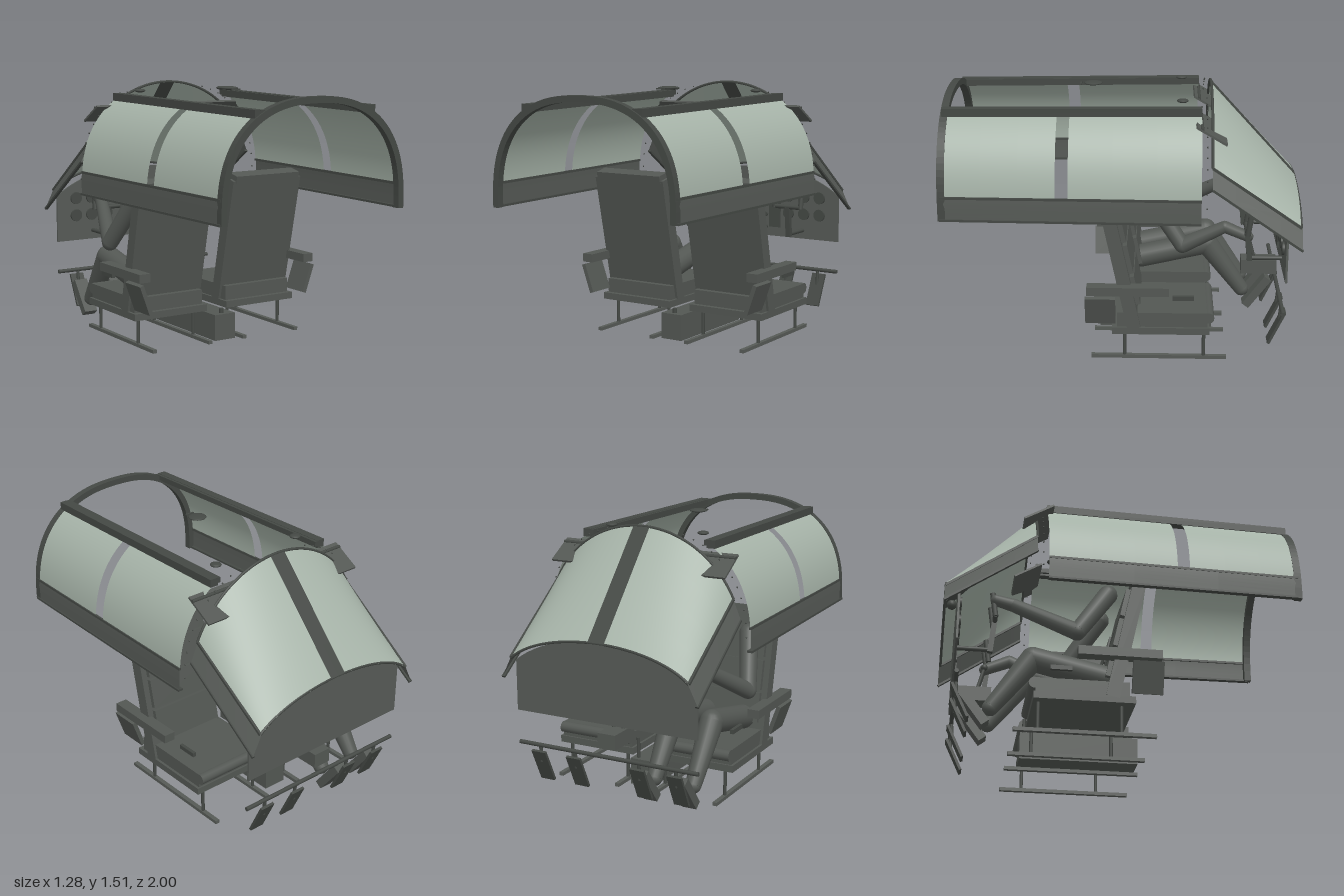
import * as THREE from 'three';
import { ParametricGeometry } from 'three/addons/geometries/ParametricGeometry.js';

const mat = (name, color, side = THREE.FrontSide) => {
  const m = new THREE.MeshStandardMaterial({ color, side });
  m.name = name;
  return m;
};
const lerp = THREE.MathUtils.lerp;
const V = (x, y, z) => new THREE.Vector3(x, y, z);

export function createModel() {
  const root = new THREE.Group();
  const glass = mat('tinted glass', 0xa6b3a8, THREE.DoubleSide);
  const skin = mat('painted metal', 0x565a56, THREE.DoubleSide);
  const frame = mat('dark frame', 0x444844, THREE.DoubleSide);
  const grey = mat('seat grey', 0x535753);

  const add = (name, geo, m, x = 0, y = 0, z = 0, rx = 0, rz = 0) => {
    const mesh = new THREE.Mesh(geo, m);
    mesh.name = name;
    mesh.position.set(x, y, z);
    mesh.rotation.set(rx, 0, rz);
    root.add(mesh);
    return mesh;
  };
  // box given by its ranges on each axis
  const box = (name, m, x0, x1, y0, y1, z0, z1) =>
    add(name, new THREE.BoxGeometry(Math.abs(x1 - x0), y1 - y0, Math.abs(z1 - z0)), m,
      (x0 + x1) / 2, (y0 + y1) / 2, (z0 + z1) / 2);
  // square bar between two points
  const bar = (name, m, a, b, w, h) => {
    const mesh = add(name, new THREE.BoxGeometry(w, h, a.distanceTo(b)), m);
    mesh.position.copy(a).lerp(b, 0.5);
    mesh.lookAt(b);
    return mesh;
  };
  // round rod between two points
  const rod = (name, m, a, b, r1, r2 = r1, seg = 14) => {
    const mesh = add(name, new THREE.CylinderGeometry(r2, r1, a.distanceTo(b), seg), m);
    mesh.position.copy(a).lerp(b, 0.5);
    mesh.quaternion.setFromUnitVectors(V(0, 1, 0), b.clone().sub(a).normalize());
    return mesh;
  };
  const sheet = (name, m, f, nu = 24, nv = 4) =>
    add(name, new ParametricGeometry((u, v, p) => p.copy(f(u, v)), nu, nv), m);

  // canopy section: straight wall under y 0.9, rounded above
  const canopy = (t, z, off = 0) => {
    const s = (z + 0.44) / 1.44, a = lerp(0.63, 0.6, s) + off, b = lerp(0.6, 0.58, s) + off;
    if (t < 0) return V(a, 0.9 + t, z);
    return V(a * Math.max(0, Math.cos(t)) ** 0.833, 0.9 + b * Math.sin(t) ** 0.833, z);
  };
  // windscreen section: from the rear hoop (s=0) to the nose (s=1)
  const screen = (t, s) => V(Math.cos(t) * lerp(0.61, 0.6, s),
    lerp(0.9, 0.7, s) + Math.sin(t) * lerp(0.6, 0.255, s), lerp(-0.5, -1, s));
  const T0 = 0.43;

  // windscreen
  sheet('windscreen', glass, (u, v) => screen(lerp(T0, Math.PI - T0, u), v), 40, 4);
  sheet('windscreenCentreStrip', frame, (u, v) => {
    const p = screen(Math.PI / 2, v);
    return V(lerp(-0.05, 0.05, u), p.y + 0.004, p.z);
  }, 2, 4);
  sheet('windscreenInnerStrip', frame, (u, v) => {
    const p = screen(Math.PI / 2, v);
    return V(lerp(-0.05, 0.05, u), p.y - 0.008, p.z);
  }, 2, 4);
  for (const [name, s] of [['windscreenRearHoop', 0], ['windscreenNoseHoop', 1]]) {
    const pts = Array.from({ length: 25 }, (_, i) => screen(lerp(T0, Math.PI - T0, i / 24), s));
    for (const p of pts) p.z += s ? 0.008 : 0;
    add(name, new THREE.TubeGeometry(new THREE.CatmullRomCurve3(pts), 48, 0.008, 6), frame);
  }

  // rear hoop of the canopy
  const half = (off) => Array.from({ length: 26 }, (_, i) => canopy(lerp(-0.05, Math.PI / 2, i / 25), 1, off));
  const full = (off) => {
    const h = half(off);
    return [...h, ...h.slice(0, -1).reverse().map((p) => V(-p.x, p.y, p.z))];
  };
  const hoop = new THREE.Shape([...full(0.004), ...full(-0.032).reverse()].map((p) => new THREE.Vector2(p.x, p.y)));
  add('canopyRearHoop', new THREE.ExtrudeGeometry(hoop, { depth: 0.042, bevelEnabled: false }), frame, 0, 0, 0.958);

  for (const k of [-1, 1]) {
    const flip = (p) => V(p.x * k, p.y, p.z);
    // canopy side windows with a gap between the panes
    for (const [z0, z1] of [[-0.44, 0.285], [0.355, 0.97]])
      sheet('canopySideWindow', glass, (u, v) => flip(canopy(lerp(0.09, 0.96, u), lerp(z0, z1, v))), 20, 3);
    sheet('canopySill', skin, (u, v) => flip(canopy(lerp(-0.05, 0.095, u), lerp(-0.44, 0.99, v), 0.003)), 6, 3);
    const along = (name, t, off, w, h) =>
      bar(name, frame, flip(canopy(t, -0.44, off)), flip(canopy(t, 0.99, off)), w, h);
    along('canopyTopRail', 0.985, 0.008, 0.05, 0.045);
    along('canopyTopRailEdge', 1.03, 0.0, 0.03, 0.03);
    along('canopyTrim', 0.095, 0, 0.012, 0.014);
    along('canopyBottomLip', -0.045, -0.004, 0.03, 0.012);
    // windscreen lower strip
    sheet('windscreenSill', skin, (u, v) => {
      const p = screen(T0, v);
      return flip(V(lerp(p.x, 0.6, u), p.y - 0.11 * u, p.z));
    }, 2, 4);
    bar('windscreenSillLip', frame, V(k * 0.595, 1.04, -0.5), V(k * 0.595, 0.695, -1), 0.02, 0.012);
    bar('windscreenSillTrim', frame, flip(screen(T0, 0)), flip(screen(T0, 0.99)), 0.014, 0.014);
    // rivet line between canopy and windscreen
    for (let i = 0; i < 12; i++) {
      const p = flip(canopy(0.04 + i * 0.11, -0.47, -0.01));
      add('rivet', new THREE.SphereGeometry(0.005, 6, 4), frame, p.x, p.y, p.z);
    }
    // sun visor
    bar('sunVisor', grey, V(k * 0.35, 1.372, -0.41), V(k * 0.35, 1.275, -0.575), 0.38, 0.012);
    rod('visorRod', frame, V(k * 0.16, 1.36, -0.44), V(k * 0.54, 1.36, -0.44), 0.01);
    // overhead lamp
    const lamp = add('overheadLamp', new THREE.SphereGeometry(0.032, 16, 8), frame, k * 0.29, 1.46, -0.335);
    lamp.scale.y = 0.35;

    // seat
    const x0 = k * 0.07, x1 = k * 0.56, xm = k * 0.315;
    add('seatBack', new THREE.BoxGeometry(0.49, 0.76, 0.075), grey, xm, 0.575, 0.006, 0.215);
    add('seatBackCap', new THREE.BoxGeometry(0.455, 0.045, 0.085), grey, xm, 0.955, 0.088, 0.215);
    for (let i = 0; i < 3; i++)
      add('seatBackPad', new THREE.BoxGeometry(0.42, 0.17, 0.03), grey, xm, 0.42 + i * 0.185, -0.077 + i * 0.04, 0.215);
    box('seatBase', grey, x0, x1, 0.17, 0.21, 0.05, -0.5);
    box('seatCushion', grey, k * 0.085, k * 0.545, 0.21, 0.295, 0.02, -0.49);
    rod('seatCushionRoll', grey, V(k * 0.085, 0.265, -0.495), V(k * 0.545, 0.265, -0.495), 0.032);
    box('armrest', grey, k * 0.54, k * 0.61, 0.42, 0.47, 0.19, -0.27);
    bar('sidePocket', grey, V(k * 0.6, 0.405, 0.115), V(k * 0.54, 0.235, 0.115), 0.17, 0.025);
    box('seatLever', frame, k * 0.5, k * 0.52, 0.36, 0.385, -0.29, -0.41);

    // seat rails and posts
    for (const x of [0.122, 0.5]) {
      box('seatRail', skin, k * (x - 0.013), k * (x + 0.013), 0, 0.02, 0.17, -0.6);
      for (const z of [-0.02, -0.47])
        rod('seatPost', frame, V(k * x, 0.015, z), V(k * x, 0.175, z), 0.01);
    }

    // rudder pedals
    for (const x of [0.2, 0.425]) {
      rod('pedalArm', frame, V(k * x, 0.3, -0.91), V(k * x, 0.2, -0.9), 0.01);
      bar('pedal', frame, V(k * x, 0.27, -0.93), V(k * x, 0.08, -0.84), 0.09, 0.015);
    }

    // control yoke
    rod('yokeShaft', frame, V(k * 0.31, 0.545, -0.92), V(k * 0.31, 0.545, -0.73), 0.013);
    bar('yokeColumn', frame, V(k * 0.31, 0.53, -0.73), V(k * 0.31, 0.72, -0.71), 0.03, 0.03);
    rod('yokeCrossbar', frame, V(k * 0.22, 0.72, -0.71), V(k * 0.4, 0.72, -0.71), 0.014);
    for (const x of [0.22, 0.4])
      rod('yokeGrip', frame, V(k * x, 0.71, -0.71), V(k * x, 0.85, -0.73), 0.016);
  }

  // instrument panel
  const ps = new THREE.Shape();
  ps.moveTo(-0.56, 0.49);
  ps.lineTo(0.56, 0.49);
  ps.lineTo(0.56, 0.78);
  ps.quadraticCurveTo(0.35, 0.94, 0, 0.94);
  ps.quadraticCurveTo(-0.35, 0.94, -0.56, 0.78);
  add('instrumentPanel', new THREE.ExtrudeGeometry(ps, { depth: 0.012, bevelEnabled: false }), skin, 0, 0, -0.925);
  const dial = (x, y, r) => add('gauge', new THREE.CylinderGeometry(r, r, 0.016, 18), frame, x, y, -0.908, Math.PI / 2);
  for (const k of [-1, 1])
    for (let i = 0; i < 3; i++)
      for (let j = 0; j < 2; j++) dial(k * (0.21 + i * 0.11), 0.65 + j * 0.11, 0.038);
  dial(-0.04, 0.75, 0.036);
  for (const y of [0.55, 0.63, 0.75]) dial(0.043, y, 0.015);
  box('radioStack', frame, 0.07, 0.15, 0.55, 0.8, -0.915, -0.9);
  add('compass', new THREE.SphereGeometry(0.03, 14, 10), frame, 0, 0.965, -0.95);

  // centre pedestal, levers and pedal bar
  box('pedestal', grey, -0.055, 0.055, 0.345, 0.43, -0.7, -0.91);
  for (const x of [-0.03, 0.03]) {
    rod('throttleLever', frame, V(x, 0.42, -0.78), V(x, 0.55, -0.745), 0.01);
    add('throttleKnob', new THREE.SphereGeometry(0.02, 10, 8), frame, x, 0.56, -0.743);
  }
  rod('pedalBar', frame, V(-0.56, 0.3, -0.91), V(0.56, 0.3, -0.91), 0.012);
  rod('trimRod', frame, V(0.035, 0.02, -0.5), V(0.035, 0.28, -0.5), 0.01);
  box('centreBox', grey, -0.07, 0.07, 0.005, 0.16, 0.14, -0.53);
  add('centreBoxKnob', new THREE.CylinderGeometry(0.014, 0.014, 0.03, 10), frame, 0, 0.172, 0.1);

  // overhead disc
  const disc = add('overheadDisc', new THREE.SphereGeometry(0.053, 20, 10), frame, 0, 1.49, 0.175);
  disc.scale.y = 0.2;
  box('overheadClip', frame, -0.028, 0.028, 1.482, 1.49, 0.24, 0.25);

  // occupant limbs
  const limb = (name, pts, radii) => pts.forEach((p, i) => {
    add(name + 'Joint', new THREE.SphereGeometry(radii[i], 16, 12), grey, p.x, p.y, p.z);
    if (i) rod(name, grey, pts[i - 1], p, radii[i - 1], radii[i], 18);
  });
  for (const x of [-0.43, -0.19]) {
    limb('leg', [V(x, 0.36, -0.1), V(x, 0.45, -0.5), V(x, 0.15, -0.72)], [0.07, 0.068, 0.045]);
    bar('shoe', grey, V(x, 0.05, -0.745), V(x, 0.23, -0.88), 0.085, 0.05);
  }
  limb('innerArm', [V(-0.13, 0.86, -0.09), V(-0.03, 0.49, -0.35), V(0, 0.62, -0.6), V(0, 0.56, -0.74)],
    [0.055, 0.048, 0.036, 0.032]);
  limb('outerArm', [V(-0.46, 0.86, -0.09), V(-0.54, 0.58, -0.27), V(-0.41, 0.78, -0.61), V(-0.4, 0.81, -0.71)],
    [0.055, 0.048, 0.038, 0.032]);

  return root;
}
